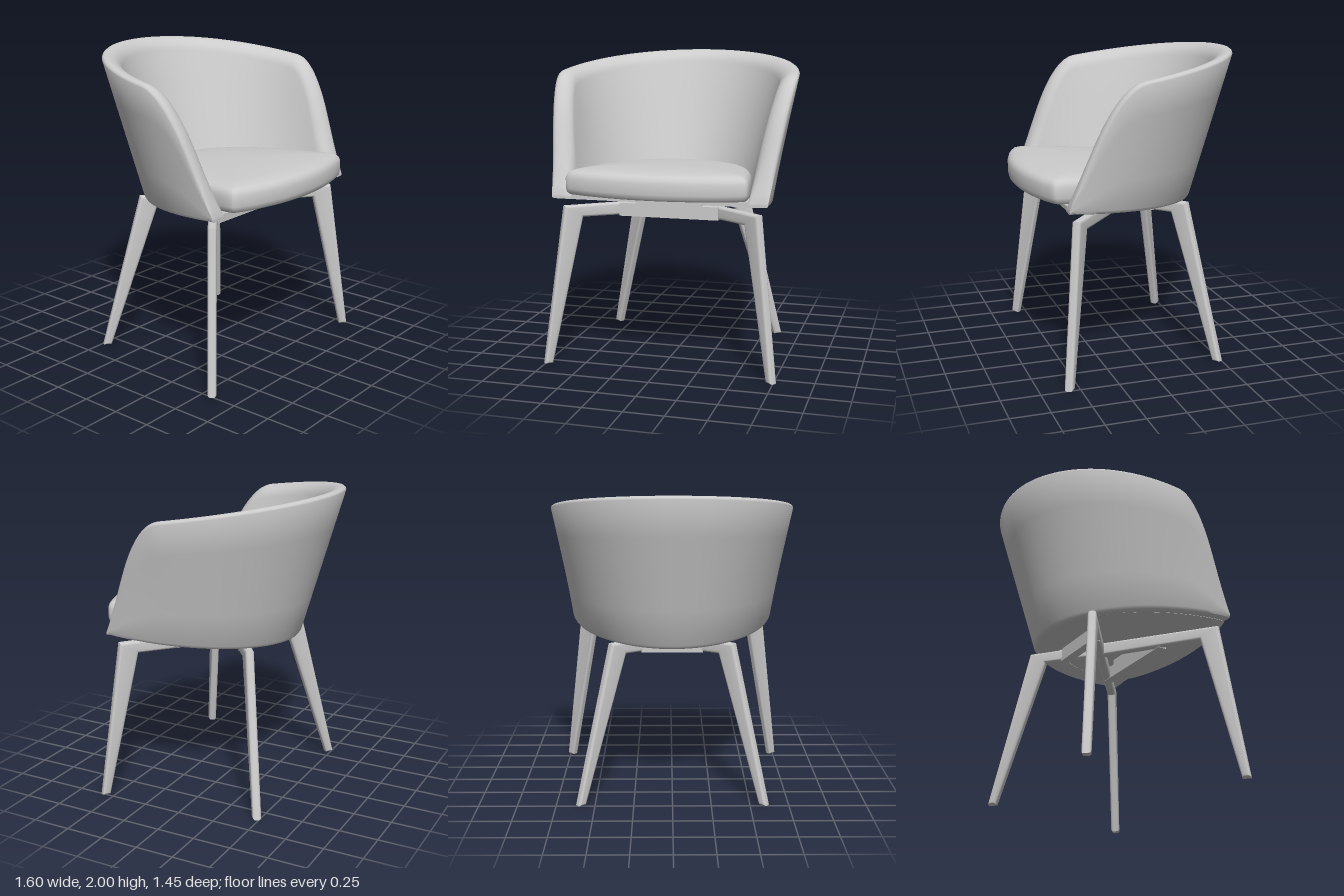
import * as THREE from 'three';
import { toCreasedNormals } from 'three/addons/utils/BufferGeometryUtils.js';

const material = new THREE.MeshStandardMaterial({ color: 0xcccccc });
const lerp = THREE.MathUtils.lerp;

function part(name, geometry, parent) {
  const mesh = new THREE.Mesh(geometry, material);
  mesh.name = name;
  parent.add(mesh);
  return mesh;
}

// Skin a list of rings (each a closed loop of [x, y, z] points)
function loft(rings, crease) {
  const n = rings[0].length, index = [];
  for (let i = 0; i < rings.length - 1; i++) {
    for (let j = 0; j < n; j++) {
      const k = (j + 1) % n;
      const a = i * n + j, b = a + n, c = (i + 1) * n + k, d = i * n + k;
      index.push(a, d, c, a, c, b);
    }
  }
  const g = new THREE.BufferGeometry();
  g.setAttribute('position', new THREE.Float32BufferAttribute(rings.flat(2), 3));
  g.setIndex(index);
  return toCreasedNormals(g, crease);
}

// U-shaped plan curves, s = -1..1 from right arm round the back to left arm
const FRONT = 0.54;
function planZ(s, depth, centre) {
  const u = Math.abs(s) / 0.7;
  return u < 1 ? centre - depth * Math.cos(u * Math.PI / 2) : lerp(centre, FRONT, (u - 1) * 0.7 / 0.3);
}
function topPlan(s) {
  const u = Math.abs(s), k = Math.max(u - 0.7, 0) / 0.3;
  const x = 0.832 * Math.sin(Math.min(u / 0.7, 1) * Math.PI / 2) - 0.03 * k * k;
  return [Math.sign(s) * x, planZ(s, 0.88, 0.15)];
}
function bottomPlan(s) {
  const z = planZ(s, 0.66, 0.2), q = Math.max(0.5 - z, 0) / 0.96;
  return [Math.sign(s) * 0.69 * Math.sqrt(Math.max(1 - q * q, 0)), z];
}

// Outer wall point at plan parameter s and height y
function wall(s, y) {
  const t = (y - 1.05) / 0.95, p = bottomPlan(s), q = topPlan(s);
  return [lerp(p[0], q[0], t), lerp(p[1], q[1], t)];
}
const underside = (z) => 1.02 + 0.07 * (z + 0.46);

// Rim height: gentle back slope blended into the steep arm front
function rim(z) {
  const arm = 1.115 + 2.36 * (FRONT - z), back = 1.89 - 0.152 * z, k = 0.32;
  const h = Math.max(k - Math.abs(arm - back), 0) / k;
  return Math.min(arm, back) - h * h * k / 4;
}

function shellGeometry() {
  const columns = 120, rings = [];
  for (let i = 0; i <= columns; i++) {
    const s = (i / columns) * 2 - 1, u = Math.abs(s);
    const p0 = wall(s - 0.004, 1.5), p1 = wall(s + 0.004, 1.5);
    const len = Math.hypot(p1[0] - p0[0], p1[1] - p0[1]);
    const inward = [-(p1[1] - p0[1]) / len, (p1[0] - p0[0]) / len];
    const z = topPlan(s)[1];
    const lo = underside(bottomPlan(s)[1]), hi = rim(z), h = hi - lo;
    const thick = (y) => lerp(0.17 - 0.045 * u ** 3, 0.105, (y - lo) / 0.95);
    // Rounding grows where the rim is steep, so it stays even across the edge
    const steep = Math.hypot(1, (rim(z + 0.01) - rim(z - 0.01)) / 0.02);
    const soft = Math.min(0.085 * steep, 0.6 * h);
    const seam = Math.min(0.02 * steep, 0.2 * h);
    const edge = Math.min(0.025, 0.3 * h);

    // Section as [inward offset, height]: up the outside, over the rim, down the inside
    const section = [[0.025, lo], [0.007, lo + edge * 0.3], [0, lo + edge]];
    for (let j = 1; j <= 4; j++) section.push([0, lerp(lo + edge, hi - seam, j / 4)]);
    section.push([0.006, hi - seam * 0.5], [0.018, hi - seam * 0.12]);
    const full = thick(hi - soft);
    for (let j = 0; j <= 7; j++) {
      const a = (j / 7) * Math.PI / 2;
      section.push([lerp(0.032, full, Math.sin(a)), hi - soft * (1 - Math.cos(a))]);
    }
    for (let j = 1; j <= 4; j++) {
      const y = lerp(hi - soft, lo, j / 4);
      section.push([thick(y), y]);
    }
    rings.push(section.map(([d, y]) => {
      const [px, pz] = wall(s, y);
      return [px + inward[0] * d, y, pz + inward[1] * d];
    }));
  }
  // Close the two arm tips
  const tip = (ring) => {
    const c = [0, 1, 2].map((k) => ring.reduce((sum, p) => sum + p[k], 0) / ring.length);
    return ring.map(() => c);
  };
  return loft([tip(rings[0]), ...rings, tip(rings[columns])], 0.7);
}

// Sloping plate closing the underside of the shell
function baseGeometry() {
  const points = [];
  for (let i = 0; i <= 64; i++) {
    const [x, z] = bottomPlan((i / 64) * 2 - 1);
    points.push(new THREE.Vector2(x * 0.93, -(0.2 + (z - 0.2) * 0.95)));
  }
  const g = new THREE.ExtrudeGeometry(new THREE.Shape(points), { depth: 0.03, bevelEnabled: false });
  g.rotateX(-Math.PI / 2);
  const p = g.attributes.position;
  for (let i = 0; i < p.count; i++) p.setY(i, p.getY(i) + underside(p.getZ(i)) - 0.002);
  return toCreasedNormals(g, 0.6);
}

// Cushion: one outline repeated at different scales and heights, sinking a little to the back
function cushionGeometry() {
  const half = [[0.2, -0.32], [0.37, -0.17], [0.49, 0.07], [0.555, 0.36], [0.583, 0.575],
    [0.574, 0.602], [0.5, 0.638], [0.4, 0.67], [0.2, 0.71]];
  const outline = [[0, -0.365], ...half, [0, 0.722], ...half.map(([x, z]) => [-x, z]).reverse()];
  const curve = new THREE.CatmullRomCurve3(
    outline.map(([x, z]) => new THREE.Vector3(x, 0, z)), true, 'centripetal');
  const loop = curve.getPoints(160).slice(0, -1);
  const profile = [[0, 1.315], [0.4, 1.312], [0.75, 1.3], [0.9, 1.288], [0.955, 1.277],
    [0.985, 1.26], [1, 1.235], [1, 1.17], [0.99, 1.145], [0.965, 1.132], [0.93, 1.128], [0, 1.128]];
  return loft(profile.map(([k, y]) => loop.map((p) => {
    const z = 0.2 + (p.z - 0.2) * k;
    return [p.x * k, y - 0.04 * Math.max(0.6 - z, 0), z];
  })), 0.8);
}

// Leg and its half of the cross frame, drawn in the radial plane
function legGeometry(topOut, footOut, footIn, knee) {
  const bevel = 0.018, width = 0.056;
  const shape = new THREE.Shape([
    [0, 1.035], [topOut, 1.035], [footOut, 0], [footIn, 0], [knee, 0.955], [0, 0.945],
  ].map(([r, y]) => new THREE.Vector2(r, y)));
  const g = new THREE.ExtrudeGeometry(shape, {
    depth: width - 2 * bevel, bevelSize: bevel, bevelOffset: -bevel, bevelThickness: bevel, bevelSegments: 5,
  });
  g.translate(0, 0, bevel - width / 2);
  return toCreasedNormals(g, 0.5);
}

export function createModel() {
  const chair = new THREE.Group();
  chair.name = 'armchair';

  part('shell', shellGeometry(), chair);
  part('seatBase', baseGeometry(), chair);
  part('cushion', cushionGeometry(), chair);

  // Four splayed legs meeting in a cross under the seat
  const frame = new THREE.Group();
  frame.name = 'legFrame';
  frame.position.z = -0.02;
  chair.add(frame);
  const front = legGeometry(0.815, 0.967, 0.913, 0.692);
  const back = legGeometry(0.503, 0.775, 0.72, 0.392);
  for (const side of [1, -1]) {
    const label = side > 0 ? 'Left' : 'Right';
    const turn = (z, x) => -Math.atan2(z, side * x);
    part('front' + label + 'Leg', front, frame).rotation.y = turn(0.62, 0.78);
    part('back' + label + 'Leg', back, frame).rotation.y = turn(-0.61, 0.79);
  }

  // Rails between the cross arms, each with a spacer block up to the seat
  for (const [name, z, length, spacer] of [['front', 0.255, 0.66, 0.44], ['back', -0.175, 0.4, 0.36]]) {
    part(name + 'Rail', new THREE.BoxGeometry(length, 0.085, 0.06), chair).position.set(0, 0.99, z);
    part(name + 'Spacer', new THREE.BoxGeometry(spacer, 0.055, 0.06), chair).position.set(0, 1.05, z);
  }
  return chair;
}
